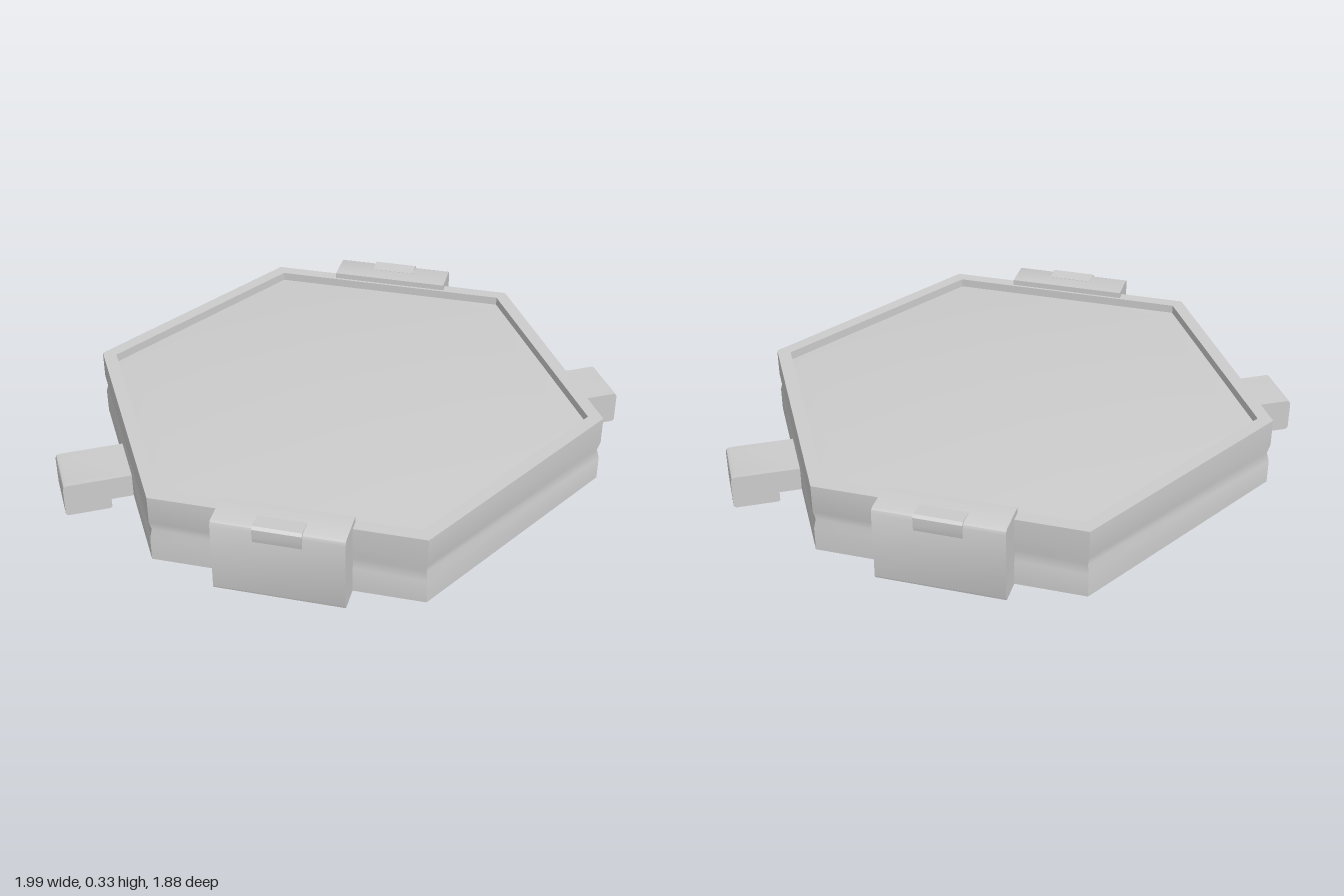
import * as THREE from 'three';
import { toCreasedNormals } from 'three/addons/utils/BufferGeometryUtils.js';

const material = new THREE.MeshStandardMaterial({ color: 0xcccccc });

function addMesh(parent, name, geometry) {
  const mesh = new THREE.Mesh(toCreasedNormals(geometry, 0.5), material);
  mesh.name = name;
  parent.add(mesh);
  return mesh;
}

// Six-sided body of revolution with corners on the x axis
function hexLathe(points) {
  return new THREE.LatheGeometry(points.map(([r, y]) => new THREE.Vector2(r, y)), 6, Math.PI / 2);
}

// Outline given as (distance outwards, height), extruded across and centred on the width
function crossExtrude(points, width, offset = 0) {
  const shape = new THREE.Shape(points.map(([r, y]) => new THREE.Vector2(r, y)));
  const geometry = new THREE.ExtrudeGeometry(shape, { depth: width, bevelEnabled: false });
  geometry.translate(0, 0, offset - width / 2);
  return geometry;
}

// Clip hooked over the rim, pointing along +x
function makeClip() {
  const clip = new THREE.Group();
  clip.name = 'rimClip';
  addMesh(clip, 'clipBody', crossExtrude([
    [0.8, 0.27], [0.82, 0.27], [0.82, 0.04], [0.925, 0.04], [0.935, 0.045],
    [0.938, 0.055], [0.938, 0.31], [0.933, 0.322], [0.922, 0.327], [0.8, 0.327],
  ], 0.46));
  // Shallow raised thumb tab on the outer top edge
  addMesh(clip, 'clipTab', crossExtrude([
    [0.87, 0.32], [0.93, 0.27], [0.938, 0.27], [0.942, 0.29], [0.942, 0.323],
    [0.932, 0.332], [0.87, 0.328],
  ], 0.17));
  return clip;
}

// Foot with a pocket open at the bottom, pointing along +x
function makeFoot() {
  const foot = new THREE.Group();
  foot.name = 'foot';
  const top = [[1.09, 0.115], [1.086, 0.125], [1.075, 0.13], [0.8, 0.13], [0.8, 0.04], [0.92, 0.04]];
  const outer = [[0.92, 0.006], [0.926, 0], [1.082, 0], [1.09, 0.008]];
  const hollow = [[0.92, 0.006], [0.926, 0], [0.94, 0], [0.94, 0.095], [1.07, 0.095],
    [1.07, 0], [1.082, 0], [1.09, 0.008]];
  addMesh(foot, 'footMiddle', crossExtrude([...top, ...hollow], 0.17));
  for (const side of [-1, 1]) {
    addMesh(foot, 'footCheek', crossExtrude([...top, ...outer], 0.02, side * 0.095));
  }
  return foot;
}

export function createModel() {
  const model = new THREE.Group();
  model.name = 'hexagonalCase';

  // Case wall with a slight waist and a raised rim
  addMesh(model, 'caseBody', hexLathe([
    [0, 0.04], [0.968, 0.04], [0.968, 0.13], [0.958, 0.165], [0.968, 0.2],
    [0.968, 0.305], [0.912, 0.305], [0.912, 0.26],
  ]));

  // Gently domed face inside the rim
  const dome = [];
  for (let i = 0; i <= 12; i++) {
    const r = 0.914 * (1 - i / 12);
    dome.push([r, 0.308 - 0.036 * (r / 0.914) ** 2]);
  }
  addMesh(model, 'domedFace', hexLathe(dome));

  // Clips at front and back, feet on opposite slanted sides
  for (const turn of [0, Math.PI]) {
    const clip = makeClip();
    clip.rotation.y = turn + Math.PI / 2;
    model.add(clip);
    const foot = makeFoot();
    foot.rotation.y = turn + Math.PI / 6;
    model.add(foot);
  }
  return model;
}
